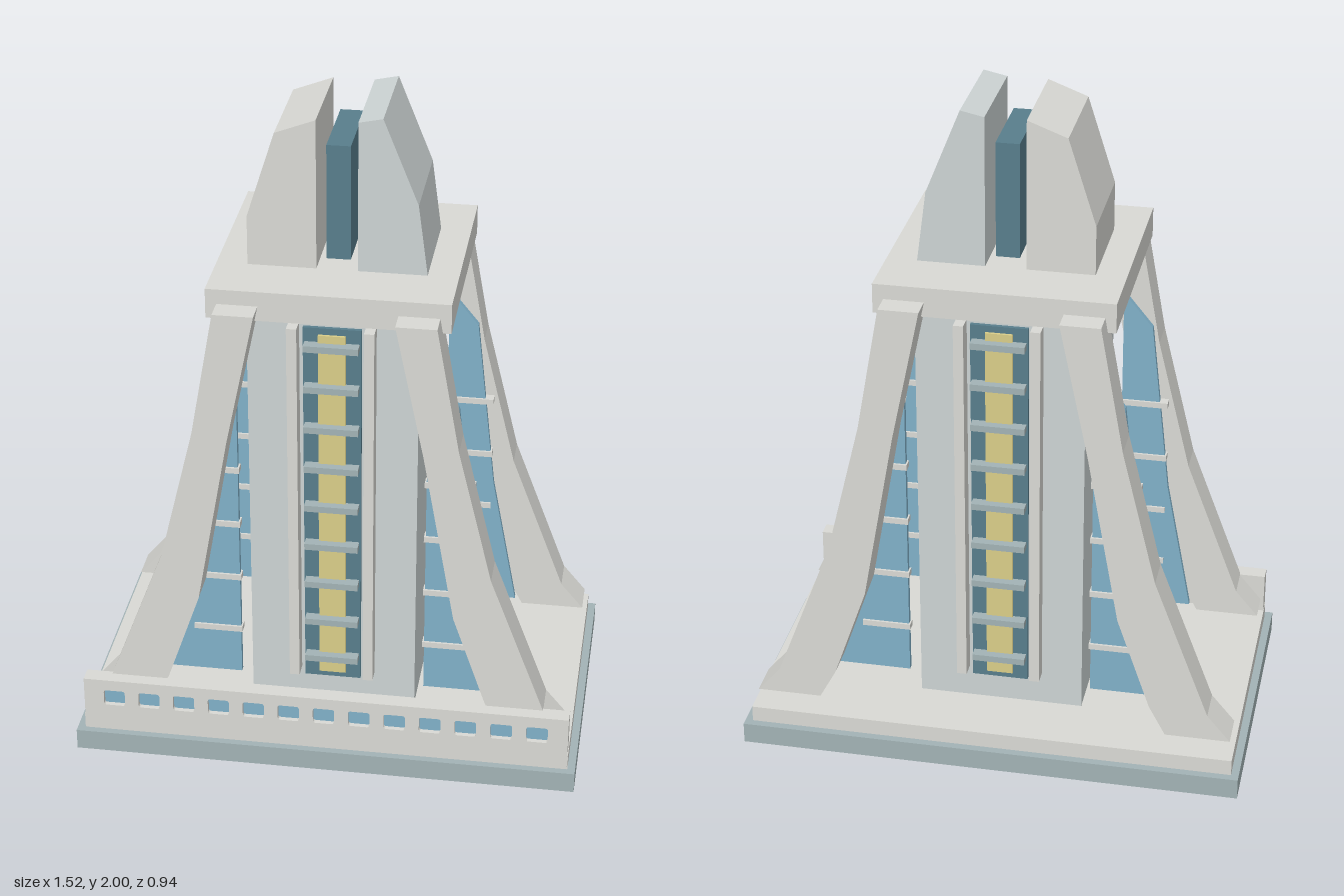
import * as THREE from 'three';

const mat = (color) => new THREE.MeshStandardMaterial({ color, flatShading: true });
const stone = mat(0xd9d9d4), cool = mat(0xccd3d3), slate = mat(0xa2b2b5);
const glass = mat(0x80b0c8), deepGlass = mat(0x587e8c), gold = mat(0xd9cd88);

export function createModel() {
  const model = new THREE.Group();

  const add = (parent, name, geometry, material) => {
    const mesh = new THREE.Mesh(geometry, material);
    mesh.name = name;
    parent.add(mesh);
    return mesh;
  };
  // Box given by its limits on each axis
  const box = (parent, name, material, [x0, x1], [y0, y1], [z0, z1]) => {
    const g = new THREE.BoxGeometry(x1 - x0, y1 - y0, z1 - z0);
    g.translate((x0 + x1) / 2, (y0 + y1) / 2, (z0 + z1) / 2);
    return add(parent, name, g, material);
  };
  // Outline in x, y extruded from z0 to z1; side = -1 mirrors it in x
  const slab = (parent, name, material, points, z0, z1, side = 1, holes = []) => {
    const shape = new THREE.Shape(points.map(([x, y]) => new THREE.Vector2(x * side, y)));
    shape.holes = holes;
    const g = new THREE.ExtrudeGeometry(shape, { depth: z1 - z0, bevelEnabled: false, curveSegments: 3 });
    g.translate(0, 0, z0);
    return add(parent, name, g, material);
  };

  // Base and plinth
  box(model, 'base', slate, [-0.76, 0.76], [0, 0.065], [-0.472, 0.472]);
  box(model, 'plinth', stone, [-0.737, 0.737], [0.065, 0.115], [-0.448, 0.448]);

  // Front parapet with a row of rounded window openings
  const windows = [];
  const w = 0.0325, h = 0.026, r = 0.008;
  for (let i = -6; i <= 6; i++) {
    const cx = i * 0.107, cy = 0.18;
    const p = new THREE.Path();
    p.moveTo(cx - w + r, cy - h);
    p.lineTo(cx + w - r, cy - h).quadraticCurveTo(cx + w, cy - h, cx + w, cy - h + r);
    p.lineTo(cx + w, cy + h - r).quadraticCurveTo(cx + w, cy + h, cx + w - r, cy + h);
    p.lineTo(cx - w + r, cy + h).quadraticCurveTo(cx - w, cy + h, cx - w, cy + h - r);
    p.lineTo(cx - w, cy - h + r).quadraticCurveTo(cx - w, cy - h, cx - w + r, cy - h);
    windows.push(p);
  }
  slab(model, 'parapet', stone,
    [[-0.735, 0.065], [0.735, 0.065], [0.735, 0.242], [-0.735, 0.242]], 0.4, 0.45, 1, windows);
  box(model, 'parapetGlass', glass, [-0.7, 0.7], [0.145, 0.215], [0.408, 0.435]);

  // Tower core and cap
  box(model, 'core', cool, [-0.25, 0.25], [0.115, 1.44], [-0.25, 0.25]);
  box(model, 'cap', stone, [-0.35, 0.35], [1.44, 1.53], [-0.34, 0.34]);

  // Front and back facades share one build; the back is turned half around
  const legOutline = [
    [0.2, 1.485], [0.285, 1.075], [0.38, 0.54], [0.48, 0.25], [0.53, 0.157],
    [0.725, 0.157], [0.655, 0.24], [0.488, 0.68], [0.386, 1.1], [0.318, 1.485],
  ];
  const finOutline = [[0.28, 0.2], [0.51, 0.2], [0.43, 0.62], [0.37, 1.17], [0.28, 1.28]];
  for (const name of ['frontFacade', 'backFacade']) {
    const facade = new THREE.Group();
    facade.name = name;
    if (name === 'backFacade') facade.rotation.y = Math.PI;
    model.add(facade);

    // Central glazed strip with rungs
    box(facade, 'darkGlassStrip', deepGlass, [-0.085, 0.085], [0.2, 1.39], [0.245, 0.262]);
    box(facade, 'goldStrip', gold, [-0.04, 0.04], [0.22, 1.37], [0.25, 0.27]);
    for (let i = 0; i < 9; i++) {
      const y = 0.28 + i * 0.132;
      box(facade, 'rung', slate, [-0.08, 0.08], [y - 0.01, y + 0.01], [0.26, 0.295]);
    }

    for (const side of [-1, 1]) {
      const span = (a, b) => (side > 0 ? [a, b] : [-b, -a]);
      box(facade, 'mullion', stone, span(0.097, 0.127), [0.22, 1.4], [0.245, 0.3]);
      slab(facade, 'leg', stone, legOutline, 0.298, 0.41, side);
      // Glass fin between core and leg, with cross bars
      slab(facade, 'glassFin', glass, finOutline, 0.257, 0.275, side);
      for (let i = 0; i < 4; i++) {
        const y = 0.355 + i * 0.185;
        box(facade, 'finBar', stone, span(0.275, 0.423), [y - 0.009, y + 0.009], [0.25, 0.282]);
      }
    }
  }

  // Split crown with a dark fin in the gap
  slab(model, 'rightCrown', stone,
    [[-0.26, 1.53], [-0.06, 1.53], [-0.06, 1.985], [-0.178, 1.94], [-0.26, 1.68]], -0.163, 0.163);
  slab(model, 'leftCrown', cool,
    [[0.06, 1.53], [0.26, 1.53], [0.232, 1.745], [0.13, 2], [0.06, 1.985]], -0.163, 0.163);
  box(model, 'crownFin', deepGlass, [-0.035, 0.035], [1.55, 1.9], [-0.133, 0.133]);

  return model;
}
